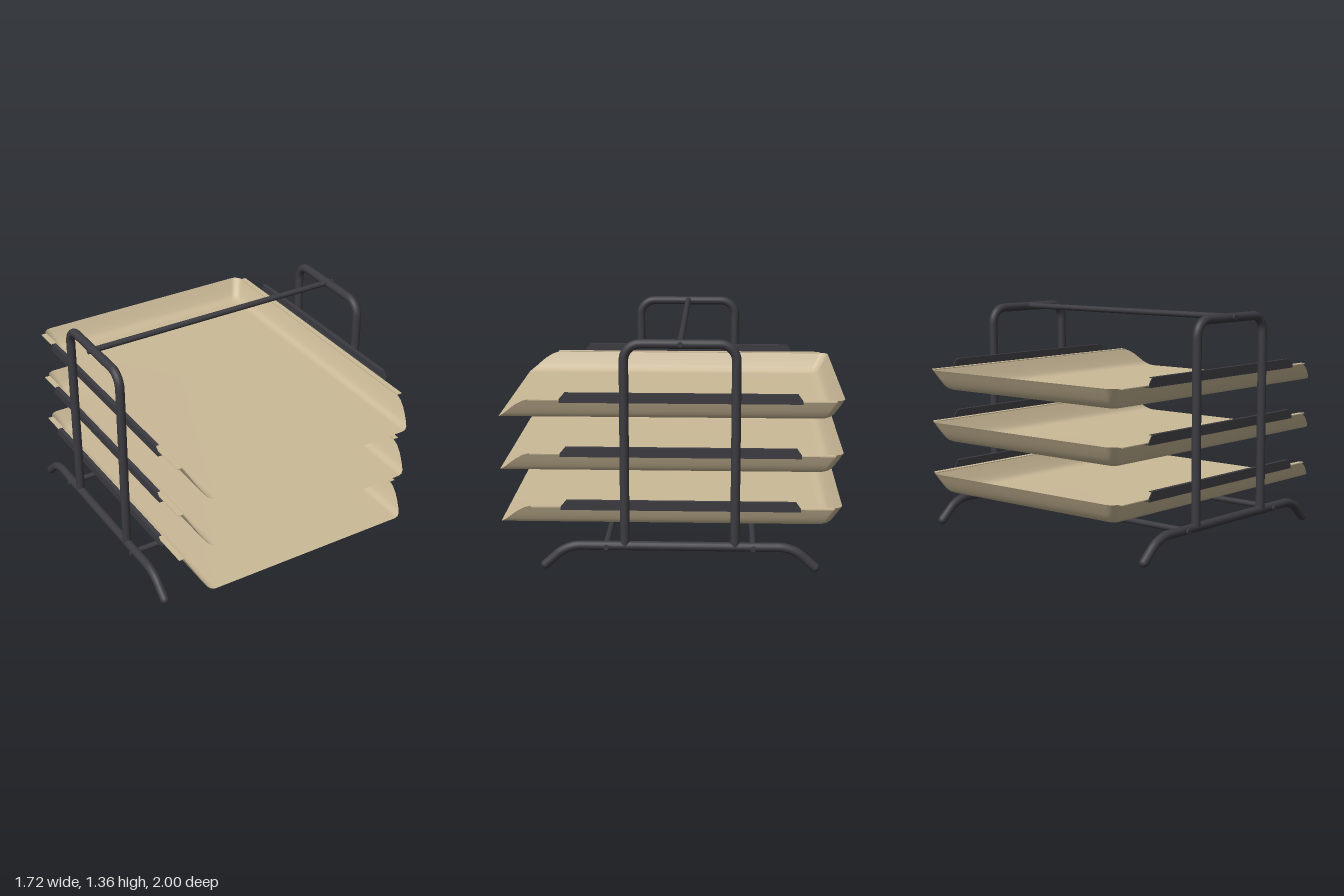
import * as THREE from 'three';

const tan = new THREE.MeshStandardMaterial({ color: 0xcbba98, side: THREE.DoubleSide });
tan.name = 'trayTan';
const dark = new THREE.MeshStandardMaterial({ color: 0x3b3b41 });
dark.name = 'frameCharcoal';

const TUBE = 0.027, SIDE_X = 0.825;

function add(parent, name, geometry, material, x = 0, y = 0, z = 0) {
  const mesh = new THREE.Mesh(geometry, material);
  mesh.name = name;
  mesh.position.set(x, y, z);
  parent.add(mesh);
  return mesh;
}

// Polyline in the (z, y) plane with rounded bends, swept as a tube
function bentTube(points, bend, segments) {
  const p = points.map(([z, y]) => new THREE.Vector3(0, y, z));
  const path = new THREE.CurvePath();
  let start = p[0];
  for (let i = 1; i < p.length - 1; i++) {
    const a = p[i].clone().add(p[i - 1].clone().sub(p[i]).setLength(bend));
    const b = p[i].clone().add(p[i + 1].clone().sub(p[i]).setLength(bend));
    const k = 0.56; // near-circular bend
    path.add(new THREE.LineCurve3(start, a));
    path.add(new THREE.CubicBezierCurve3(a, a.clone().lerp(p[i], k), b.clone().lerp(p[i], k), b));
    start = b;
  }
  path.add(new THREE.LineCurve3(start, p[p.length - 1]));
  return new THREE.TubeGeometry(path, segments, TUBE, 16, false);
}

// Open-fronted pan: floor fan plus rings climbing the curved wall
function trayPan() {
  // outward travel (0..1), height, front end of the side wall
  const wall = [[0, 0, 1], [0.25, 0.004, 0.995], [0.42, 0.014, 0.982], [0.55, 0.03, 0.96],
    [0.7, 0.06, 0.925], [0.82, 0.085, 0.893], [0.93, 0.11, 0.85], [1, 0.125, 0.8]];
  const pos = [0, 0, 0], index = [], steps = 8;
  const row = 2 * (steps + 1) + 2;
  wall.forEach(([t, h, front]) => {
    const x = 0.64 + 0.1 * t, back = -0.87 - 0.13 * t, r = 0.035 + 0.02 * t;
    pos.push(x, h, front);
    for (let c = 0; c < 2; c++) {
      for (let s = 0; s <= steps; s++) {
        const a = (c + s / steps) * Math.PI / 2;
        pos.push((c ? -1 : 1) * (x - r) + r * Math.cos(a), h, back + r - r * Math.sin(a));
      }
    }
    pos.push(-x, h, front);
  });
  for (let i = 0; i < row; i++) index.push(0, 1 + i, 1 + (i + 1) % row);
  for (let j = 0; j < wall.length - 1; j++) {
    for (let i = 0; i < row - 1; i++) {
      const a = 1 + j * row + i, d = a + row;
      index.push(a, d, d + 1, a, d + 1, a + 1);
    }
  }
  const g = new THREE.BufferGeometry();
  g.setAttribute('position', new THREE.Float32BufferAttribute(pos, 3));
  g.setIndex(index);
  g.computeVertexNormals();
  return g;
}

// Upright rail web with sloped ends, lying in the (z, y) plane
function railWeb() {
  const s = new THREE.Shape();
  [[-0.63, 0], [0.755, 0], [0.755, 0.02], [0.73, 0.055], [-0.6, 0.055], [-0.63, 0.02]]
    .forEach(([z, y], i) => (i ? s.lineTo(z, y) : s.moveTo(z, y)));
  return new THREE.ExtrudeGeometry(s, { depth: 0.006, bevelEnabled: false }).rotateY(Math.PI / 2);
}

export function createModel() {
  const model = new THREE.Group();
  model.name = 'letterTrayStand';

  // Side frames: bent foot tube and tall hoop
  const foot = bentTube([[0.72, 0.03], [0.59, 0.148], [-0.71, 0.148], [-0.84, 0.03]], 0.075, 120);
  const hoop = bentTube([[0.257, 0.148], [0.257, 1.333], [-0.378, 1.333], [-0.378, 0.148]], 0.095, 160);
  const ball = new THREE.SphereGeometry(TUBE, 16, 10);
  for (const s of [1, -1]) {
    const frame = new THREE.Group();
    frame.name = s > 0 ? 'leftFrame' : 'rightFrame';
    frame.position.x = s * SIDE_X;
    model.add(frame);
    add(frame, 'footTube', foot, dark);
    add(frame, 'hoop', hoop, dark);
    add(frame, 'frontFootTip', ball, dark, 0, 0.03, 0.72);
    add(frame, 'backFootTip', ball, dark, 0, 0.03, -0.84);
  }

  // Cross bars with small end caps
  const bar = new THREE.CylinderGeometry(0.018, 0.018, 1.66, 16).rotateZ(Math.PI / 2);
  const cap = new THREE.CylinderGeometry(0.015, 0.015, 1.724, 16).rotateZ(Math.PI / 2);
  for (const [name, y, z] of [['topBar', 1.338, -0.062], ['frontBar', 0.148, 0.365], ['backBar', 0.148, -0.483]]) {
    add(model, name, bar, dark, 0, y, z);
    add(model, name + 'Caps', cap, dark, 0, y - 0.003, z);
  }

  // Three trays hanging by their flanges in channel rails
  const pan = trayPan(), web = railWeb();
  const flange = new THREE.BoxGeometry(0.034, 0.005, 1.76);
  const lowerLip = new THREE.BoxGeometry(0.04, 0.005, 1.385);
  const upperLip = new THREE.BoxGeometry(0.026, 0.005, 1.33);
  [0.235, 0.552, 0.87].forEach((y, n) => {
    const level = new THREE.Group();
    level.name = 'trayLevel' + (n + 1);
    level.position.y = y;
    model.add(level);
    add(level, 'trayPan', pan, tan);
    for (const s of [1, -1]) {
      add(level, 'trayFlange', flange, tan, s * 0.753, 0.1235, -0.07);
      add(level, 'railWeb', web, dark, s * 0.79 - 0.003, 0.115, 0);
      add(level, 'railLowerLip', lowerLip, dark, s * 0.773, 0.1165, -0.0625);
      add(level, 'railUpperLip', upperLip, dark, s * 0.783, 0.1685, -0.065);
    }
  });

  return model;
}
